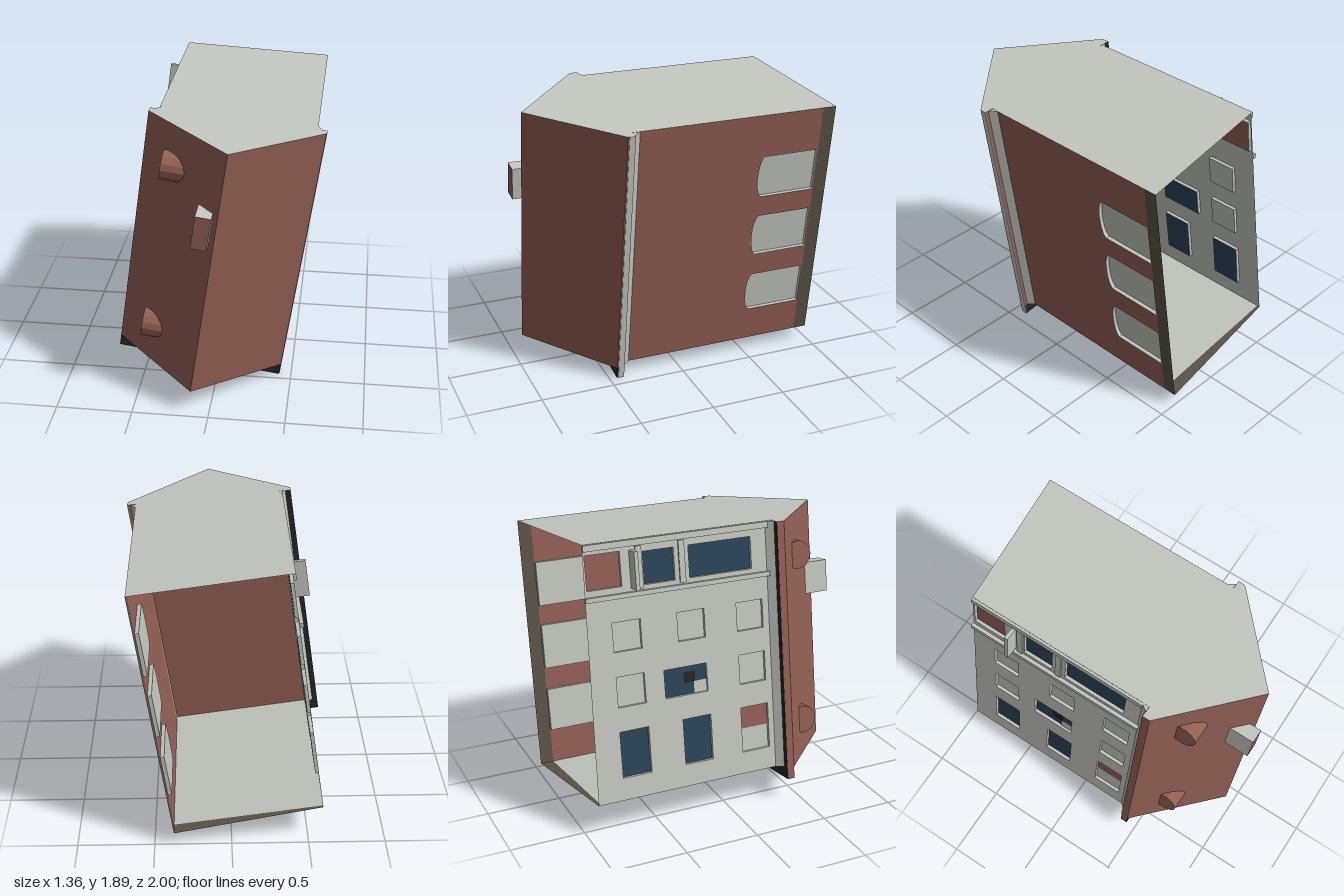
import * as THREE from 'three';

const mat = (name, color, side = THREE.DoubleSide) => {
  const m = new THREE.MeshStandardMaterial({ color, side });
  m.name = name;
  return m;
};

export function createModel() {
  const brick = mat('brick', 0x935f55), stone = mat('pale stone', 0xc4c7c0);
  const olive = mat('dark olive', 0x5a5347), glass = mat('blue glass', 0x2b4358);
  const black = mat('black', 0x262626);

  const house = new THREE.Group();
  house.name = 'leaningHouse';
  const add = (name, geo, material) => {
    const m = new THREE.Mesh(geo, material);
    m.name = name;
    house.add(m);
    return m;
  };
  const box = (name, x0, x1, y0, y1, z0, z1, material) => {
    const g = new THREE.BoxGeometry(x1 - x0, y1 - y0, z1 - z0);
    g.translate((x0 + x1) / 2, (y0 + y1) / 2, (z0 + z1) / 2);
    return add(name, g, material);
  };
  const poly = (pts) => new THREE.Shape(pts.map(([a, b]) => new THREE.Vector2(a, b)));
  const rect = (a0, a1, b0, b1) => poly([[a0, b0], [a1, b0], [a1, b1], [a0, b1]]);
  const roofY = (x) => 1.703 + 0.053 * x;

  // side-wall shapes are drawn in (z, y) and stood up at a given x
  const flat = (name, shape, x, material) =>
    add(name, new THREE.ShapeGeometry(shape, 8).rotateY(-Math.PI / 2).translate(x, 0, 0), material);
  // ground-plan shapes are drawn in (x, z)
  const plan = (name, shape, y, material) => {
    const g = new THREE.ShapeGeometry(shape).rotateX(Math.PI / 2);
    const p = g.attributes.position;
    for (let i = 0; i < p.count; i++) p.setY(i, y(p.getX(i)));
    g.computeVertexNormals();
    return add(name, g, material);
  };
  // recessed opening: reveal around the hole and a panel at its back
  const recess = (name, shape, x, inward, depth, material) => {
    const pts = shape.getPoints(8);
    const c = new THREE.Box2().setFromPoints(pts).getCenter(new THREE.Vector2());
    const ring = new THREE.Shape(pts.map((p) =>
      new THREE.Vector2(p.x + Math.sign(p.x - c.x) * 0.004, p.y + Math.sign(p.y - c.y) * 0.004)));
    ring.holes.push(new THREE.Path(pts));
    const g = new THREE.ExtrudeGeometry(ring, { depth, bevelEnabled: false });
    g.rotateY(-Math.PI / 2).translate(inward > 0 ? x + depth : x, 0, 0);
    add(name + 'Reveal', g, stone);
    flat(name + 'Panel', shape, x + inward * depth, material);
  };

  // brick wall with three arched blind windows, and its bare back strip
  const R = 0.5, L = -0.48;
  const rightWall = rect(-0.91, 0.4, 0, roofY(R));
  const arches = [[0.243, 0.531], [0.693, 0.991], [1.137, 1.43]].map(([a, b]) => {
    const s = new THREE.Shape(), m = (a + b) / 2;
    s.moveTo(-0.905, a);
    s.lineTo(-0.525, a);
    s.bezierCurveTo(-0.5, a + 0.02, -0.49, a + 0.08, -0.49, m);
    s.bezierCurveTo(-0.49, b - 0.08, -0.5, b - 0.02, -0.525, b);
    s.lineTo(-0.905, b);
    s.closePath();
    return s;
  });
  rightWall.holes.push(...arches);
  flat('brickSideWall', rightWall, R, brick);
  arches.forEach((s) => recess('archWindow', s, R, -1, 0.025, stone));
  flat('sideWallBackStrip', rect(-1, -0.91, 0, roofY(R)), R, olive);

  // stone facade with its windows
  const facade = poly([[-0.93, 0], [0.4, 0], [0.4, roofY(L)], [-0.9, roofY(L)]]);
  const windows = [];
  [-0.65, -0.21, 0.21].forEach((z, i) => {
    windows.push(['lowerWindow', rect(z - 0.1, z + 0.1, 0.15, 0.46), i < 2 ? glass : stone]);
    if (i !== 1) windows.push(['middleWindow', rect(z - 0.095, z + 0.095, 0.62, 0.82), stone]);
    windows.push(['upperWindow', rect(z - 0.095, z + 0.095, 0.98, 1.17), stone]);
  });
  windows.push(['brokenWindow', rect(-0.42, -0.12, 0.62, 0.81), glass]);
  windows.push(['friezePanel', rect(-0.89, -0.66, 1.39, 1.61), brick]);
  windows.push(['friezeSmallWindow', rect(-0.51, -0.3, 1.38, 1.59), glass]);
  windows.push(['friezeWideWindow', rect(-0.2, 0.24, 1.38, 1.59), glass]);
  facade.holes.push(...windows.map((w) => w[1]));
  flat('facade', facade, L, stone);
  windows.forEach(([name, s, m]) => recess(name, s, L, 1, 0.022, m));
  flat('lowerWindowBrickHead', rect(0.11, 0.31, 0.31, 0.46), L + 0.019, brick);
  flat('brokenWindowPatch', rect(-0.21, -0.12, 0.62, 0.7), L + 0.016, stone);
  flat('brokenWindowGap', rect(-0.28, -0.2, 0.7, 0.77), L + 0.014, black);

  // frieze mouldings, mullions and projecting fin
  box('lowerCornice', L - 0.025, L, 1.32, 1.35, -0.91, 0.36, stone);
  box('upperCornice', L - 0.018, L, 1.635, 1.675, -0.9, 0.36, stone);
  box('friezeFin', L - 0.09, L, 1.37, 1.61, -0.6, -0.575, stone);
  [-0.54, -0.25].forEach((z) => box('friezePilaster', L - 0.012, L, 1.36, 1.63, z - 0.02, z + 0.02, stone));

  // floor and roof, cut askew at the open back
  plan('floor', poly([[L, -0.91], [R, -0.91], [R, 0.4], [L, 0.4]]), () => 0, stone);
  plan('floorBackEdge', poly([[L, -0.93], [R, -1], [R, -0.91], [L, -0.91]]), () => 0, olive);
  plan('roof', poly([[L, -0.9], [R, -1], [R, 0.4], [L, 0.4]]), roofY, stone);

  // pointed front, its top following the roof slope
  const wedge = new THREE.ExtrudeGeometry(
    poly([[-0.555, 0.4], [0.555, 0.4], [0.555, 0.45], [0, 0.95], [-0.555, 0.45]]),
    { depth: 1.7, bevelEnabled: false });
  wedge.rotateX(Math.PI / 2).translate(0, 1.7, 0);
  const wp = wedge.attributes.position;
  for (let i = 0; i < wp.count; i++) if (wp.getY(i) > 0.8) wp.setY(i, roofY(wp.getX(i)));
  wedge.computeVertexNormals();
  add('pointedFront', wedge, [stone, brick]);
  box('frontEndStrip', 0.555, 0.559, -0.08, roofY(0.555), 0.4, 0.44, stone);
  box('frontBackEdge', -0.553, -0.515, 0, roofY(-0.55), 0.396, 0.4, black);

  // coves joining the walls to the front, and the feet
  [[R, 0.535, 'rightCove'], [L, -0.52, 'leftCove']].forEach(([a, b, name]) => {
    const g = new THREE.ExtrudeGeometry(poly([[a, 0.35], [b, 0.398], [a, 0.398]]),
      { depth: roofY(a) - 0.002, bevelEnabled: false });
    add(name, g.rotateX(Math.PI / 2).translate(0, roofY(a) - 0.002, 0), stone);
  });
  box('leftFoot', -0.555, -0.3, -0.08, 0, 0.4, 0.45, [black, brick, black, black, black, black]);
  box('rightFoot', 0.32, 0.555, -0.08, 0, 0.4, 0.45, black);

  // round bosses and a block on the front
  [[-0.41, 1.411], [-0.396, 0.261]].forEach(([x, y]) => {
    const g = new THREE.CylinderGeometry(0.095, 0.095, 0.2, 14).rotateZ(Math.PI / 2);
    const boss = add('frontBoss', g.toNonIndexed(), brick);
    boss.geometry.computeVertexNormals();
    boss.position.set(x + 0.1, y, 0.625);
  });
  box('frontBlock', -0.134, -0.034, 1.07, 1.29, 0.8, 1.0, [stone, stone, stone, stone, brick, stone]);

  // lean the whole house
  house.rotation.z = THREE.MathUtils.degToRad(-8.2);
  house.position.set(-0.12, 0.155, 0);
  const model = new THREE.Group();
  model.name = 'model';
  model.add(house);
  return model;
}
